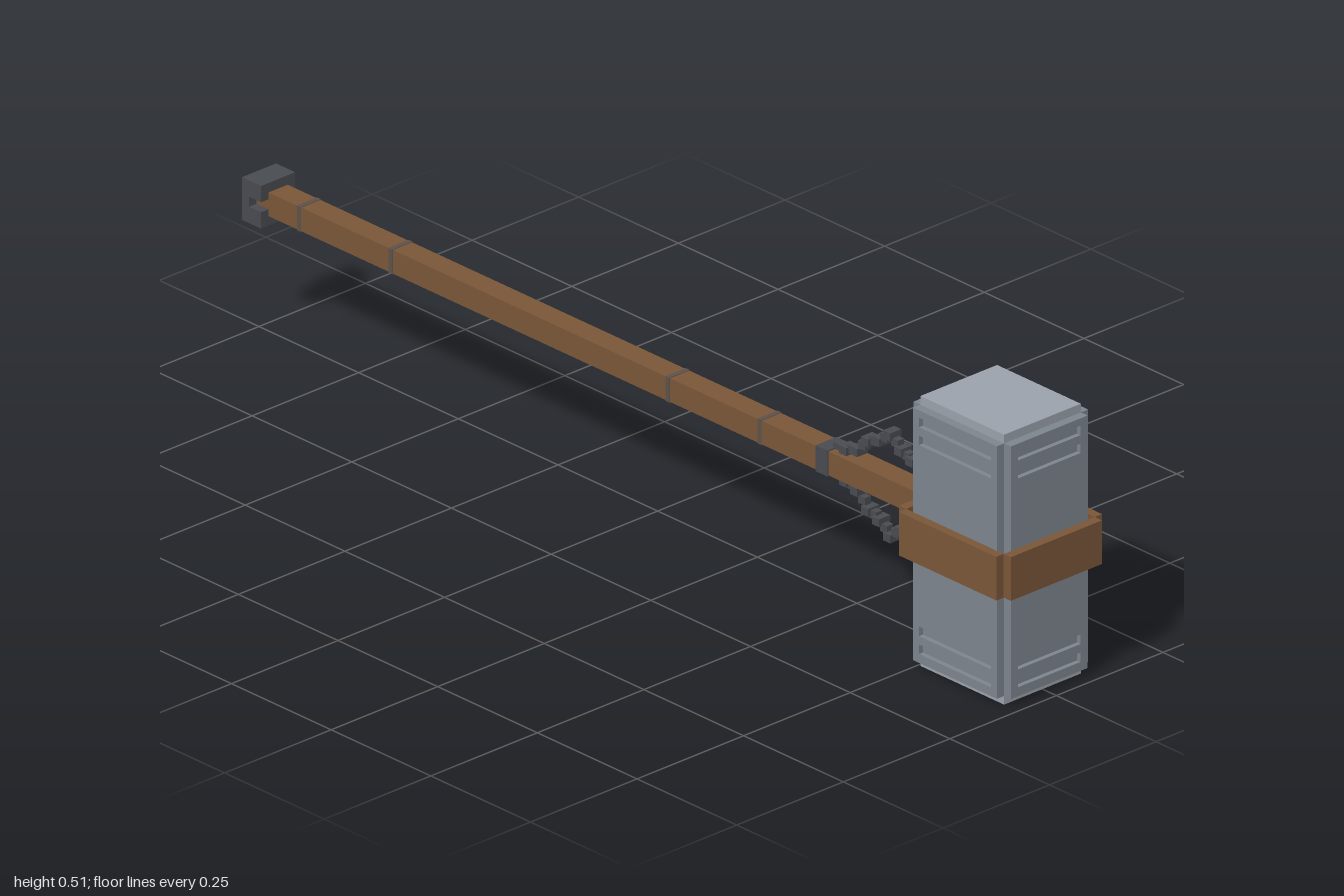
import * as THREE from 'three';

const steel = new THREE.MeshStandardMaterial({ name: 'steel', color: 0x7d858e });
const paleSteel = new THREE.MeshStandardMaterial({ name: 'paleSteel', color: 0x9aa2ab });
const wood = new THREE.MeshStandardMaterial({ name: 'wood', color: 0x7a5638 });
const iron = new THREE.MeshStandardMaterial({ name: 'iron', color: 0x484b50 });
const ring = new THREE.MeshStandardMaterial({ name: 'ring', color: 0x5c524a });

const MID = 0.2575; // height of the shaft axis
const HEAD_Z = 0.86; // centre of the head

function box(parent, name, mat, w, h, d, x, y, z) {
  const m = new THREE.Mesh(new THREE.BoxGeometry(w, h, d), mat);
  m.name = name;
  m.position.set(x, y, z);
  parent.add(m);
  return m;
}

// Armour plate with four sunken slots, facing +z, its back at z = 0
function slottedPlate(halfW, slotHalf) {
  const g = new THREE.Group();
  g.name = 'slottedPlate';
  const h = 0.24;
  box(g, 'slotFloor', steel, halfW * 2, h * 2, 0.008, 0, 0, 0.004);
  const s = new THREE.Shape();
  s.moveTo(-halfW, -h).lineTo(halfW, -h).lineTo(halfW, h).lineTo(-halfW, h).closePath();
  for (const y of [0.217, 0.183, -0.18, -0.214]) {
    const p = new THREE.Path();
    p.moveTo(-slotHalf, y - 0.009).lineTo(-slotHalf, y + 0.009);
    p.lineTo(slotHalf, y + 0.009).lineTo(slotHalf, y - 0.009).closePath();
    s.holes.push(p);
  }
  const face = new THREE.Mesh(
    new THREE.ExtrudeGeometry(s, { depth: 0.009, bevelEnabled: false }), steel);
  face.name = 'plateFace';
  face.position.z = 0.008;
  g.add(face);
  return g;
}

function createHead() {
  const head = new THREE.Group();
  head.name = 'head';
  head.position.set(0, MID, HEAD_Z);
  box(head, 'core', paleSteel, 0.18, 0.513, 0.21, 0, 0, 0);
  for (let i = 0; i < 4; i++) {
    const side = i % 2 === 1;
    const a = i * Math.PI / 2;
    const out = side ? 0.09 : 0.105;
    const p = side ? slottedPlate(0.105, 0.09) : slottedPlate(0.09, 0.073);
    p.position.set(Math.sin(a) * out, 0, Math.cos(a) * out);
    p.rotation.y = a;
    head.add(p);
  }
  // Wooden band, open at its four corners
  for (const s of [-1, 1]) {
    box(head, 'bandEnd', wood, 0.214, 0.083, 0.018, 0, 0, s * 0.131);
    box(head, 'bandSide', wood, 0.017, 0.083, 0.244, s * 0.1155, 0, 0);
  }
  return head;
}

function createShaft() {
  const shaft = new THREE.Group();
  shaft.name = 'shaft';
  shaft.position.y = MID;
  box(shaft, 'handle', wood, 0.045, 0.045, 1.71, 0, 0, -0.13);
  box(shaft, 'collar', iron, 0.08, 0.081, 0.052, 0, 0, 0.711);
  box(shaft, 'chainRing', iron, 0.049, 0.049, 0.03, 0, 0, 0.437);
  for (const z of [0.28, 0.05, -0.645, -0.875])
    box(shaft, 'thinRing', ring, 0.047, 0.047, 0.01, 0, 0, z);

  // Pommel, slotted on both sides where the handle enters
  box(shaft, 'pommelEnd', iron, 0.08, 0.081, 0.018, 0, 0, -0.991);
  for (const s of [-1, 1])
    box(shaft, 'pommelJaw', iron, 0.08, 0.031, 0.03, 0, s * 0.025, -0.967);
  return shaft;
}

// Chains of small blocks that rise to a peak and come back to the handle
function createChains() {
  const chains = new THREE.Group();
  chains.name = 'chains';
  const rise = [0.097, 0.086, 0.076, 0.07, 0.066, 0.052, 0.038, 0.034, 0.03];
  for (const up of [-1, 1]) {
    for (let i = -8; i <= 8; i++) {
      const wide = i % 2 === 0 ? 0.026 : 0.014;
      box(chains, 'chainLink', iron, wide, 0.015, 0.018,
        0, MID + up * rise[Math.abs(i)], 0.588 + i * 0.0138);
    }
    box(chains, 'chainEnd', iron, 0.014, 0.016, 0.035, 0, MID + up * 0.026, 0.465);
  }
  return chains;
}

export function createModel() {
  const model = new THREE.Group();
  model.name = 'warHammer';
  model.add(createHead(), createShaft(), createChains());
  return model;
}
